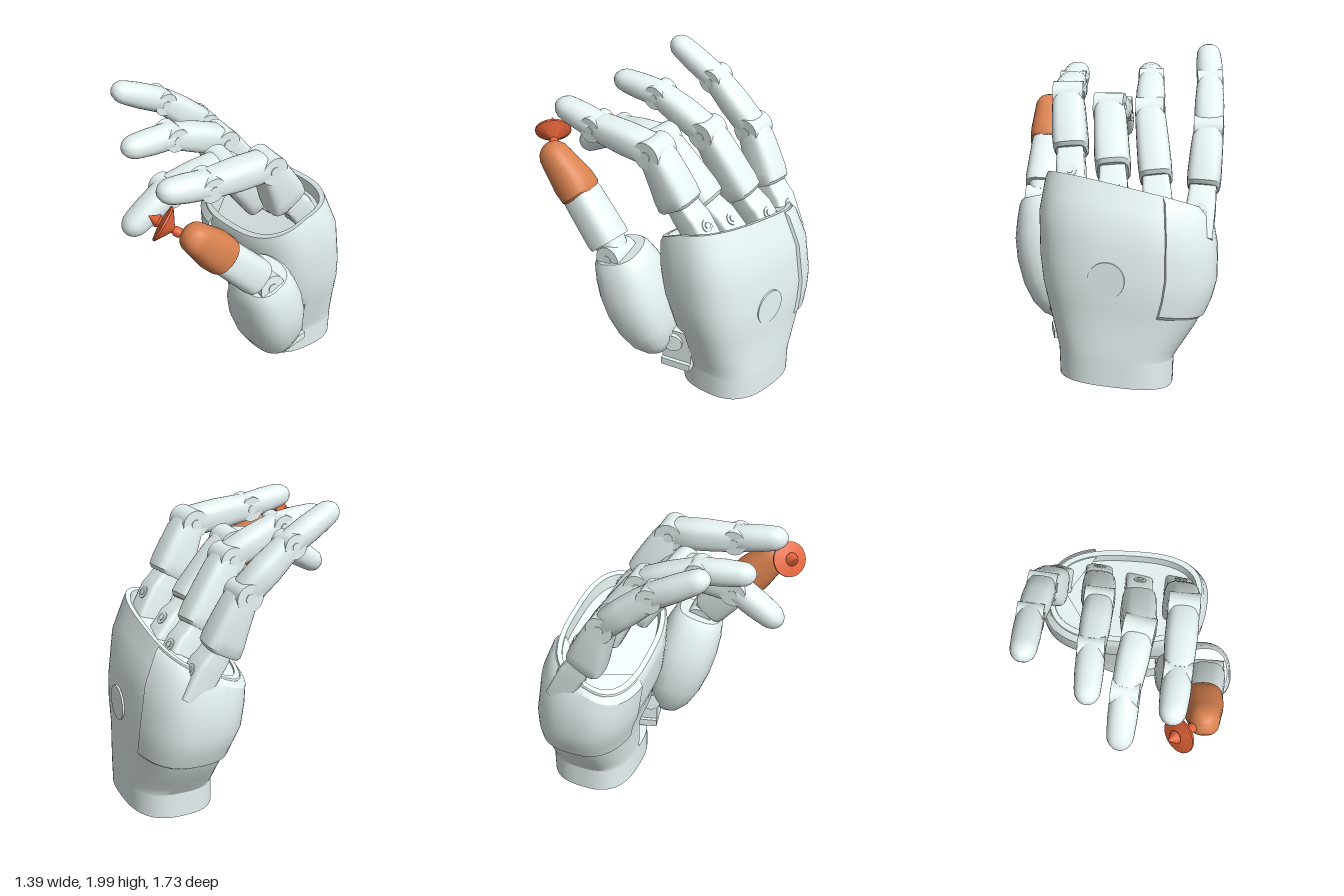
import * as THREE from 'three';
import { toCreasedNormals } from 'three/addons/utils/BufferGeometryUtils.js';

const V = (x, y, z) => new THREE.Vector3(x, y, z);
const mat = (color) => new THREE.MeshStandardMaterial({ color });
const grey = mat(0xe8f4f4), orange = mat(0xda8250), red = mat(0xe4643a);
const ACROSS = V(0.906, 0, 0.42);   // direction across the palm, little finger to index
const TO_PALM = V(-0.42, 0, 0.906); // direction the palm faces

// Skin a stack of closed rings (counter-clockwise seen from the far end), capped at both ends
function loft(rings, crease = 0.6) {
  const n = rings[0].length, pos = [], idx = [];
  rings.forEach((r) => r.forEach((p) => pos.push(p.x, p.y, p.z)));
  for (let i = 0; i < rings.length - 1; i++) {
    for (let j = 0; j < n; j++) {
      const a = i * n + j, b = i * n + (j + 1) % n;
      idx.push(a, b, b + n, a, b + n, a + n);
    }
  }
  [0, rings.length - 1].forEach((i, end) => {
    const c = rings[i].reduce((s, p) => s.add(p), V(0, 0, 0)).divideScalar(n);
    const ci = pos.length / 3;
    pos.push(c.x, c.y, c.z);
    for (let j = 0; j < n; j++) {
      const a = i * n + j, b = i * n + (j + 1) % n;
      idx.push(ci, end ? a : b, end ? b : a);
    }
  });
  const g = new THREE.BufferGeometry();
  g.setAttribute('position', new THREE.Float32BufferAttribute(pos, 3));
  g.setIndex(idx);
  return toCreasedNormals(g, crease);
}

// Point on a rounded-rectangle outline
function outline(t, a, b, p) {
  const c = Math.cos(t), s = Math.sin(t), e = 2 / p;
  return [a * Math.sign(c) * Math.abs(c) ** e, -b * Math.sign(s) * Math.abs(s) ** e];
}

function add(parent, name, geometry, material = grey) {
  const m = new THREE.Mesh(geometry, material);
  m.name = name;
  parent.add(m);
  return m;
}

// Group at A with y pointing to B and x along the hinge axis
function frame(parent, name, A, B, side = ACROSS) {
  const y = B.clone().sub(A).normalize();
  const x = side.clone().addScaledVector(y, -side.dot(y)).normalize();
  const g = new THREE.Group();
  g.name = name;
  g.applyMatrix4(new THREE.Matrix4().makeBasis(x, y, x.clone().cross(y)));
  g.position.copy(A);
  parent.add(g);
  return g;
}

// Sections are [distance along y, half width, half depth, shift towards the palm]
function limb(parent, name, sections, p = 3, material = grey) {
  const rings = sections.map(([y, a, b, shift = 0]) => Array.from({ length: 28 }, (_, j) => {
    const [x, z] = outline(j / 28 * Math.PI * 2, a, b, p);
    return V(x, y, z + shift);
  }));
  return add(parent, name, loft(rings), material);
}

const dome = (y, a, b, h) => [0, 0.25, 0.5, 0.7, 0.85, 0.96].map((k) => {
  const c = Math.cos(k * Math.PI / 2);
  return [y + h * Math.sin(k * Math.PI / 2), a * c, b * c];
});

// Hinge pin across a joint with a smaller screw head at each end
function hinge(parent, name, r, w) {
  add(parent, name, new THREE.CylinderGeometry(r, r, w, 24)).rotation.z = Math.PI / 2;
  add(parent, name + 'Screw', new THREE.CylinderGeometry(r * 0.35, r * 0.35, w + 0.01, 12)).rotation.z = Math.PI / 2;
}

// Palm levels: y, slope along x, centre x, centre z, half width, half thickness, drop towards the palm side
const LEVELS = [
  [0.03, 0.10, 0.23, -0.47, 0.345, 0.285, 0],
  [0.20, 0.10, 0.23, -0.47, 0.35, 0.285, 0],
  [0.42, 0.12, 0.19, -0.47, 0.445, 0.29, 0],
  [0.57, 0.13, 0.17, -0.465, 0.5, 0.305, 0],
  [0.72, 0.15, 0.15, -0.44, 0.53, 0.33, 0],
  [0.95, 0.20, 0.14, -0.41, 0.535, 0.32, 0.22],
  [1.12, 0.25, 0.12, -0.37, 0.505, 0.285, 0.43],
  [1.16, 0.25, 0.12, -0.37, 0.49, 0.27, 0.45],
];

function palmPoint(y, t, grow) {
  let i = 0;
  while (i < LEVELS.length - 2 && y > LEVELS[i + 1][0]) i++;
  const f = (y - LEVELS[i][0]) / (LEVELS[i + 1][0] - LEVELS[i][0]);
  const [, slope, cx, cz, a, b, drop] = LEVELS[i].map((v, k) => v + (LEVELS[i + 1][k] - v) * f);
  let [lx, lz] = outline(t, a + grow, b + grow, 2.7);
  // Recess for the thumb mount
  if (y > 0.195 && y < 0.485 && lx > 0.04) lz = Math.min(lz, 0.08);
  const p = V(cx, 0, cz).addScaledVector(ACROSS, lx).addScaledVector(TO_PALM, lz);
  p.y = y + slope * (p.x - 0.14) - drop * (lz > 0 ? lz : lz * 0.5);
  return p;
}

function buildPalm(root) {
  // Shell with a hollow wrist and a well for the knuckles: inner wall, outer wall, rim, well
  const ring = (y, grow) => Array.from({ length: 72 }, (_, j) => palmPoint(y, j / 72 * Math.PI * 2, grow));
  const rings = [ring(0.18, -0.05), ring(0.03, -0.05)];
  for (const y of [0.03, 0.12, 0.19, 0.2, 0.26, 0.34, 0.42, 0.48, 0.49, 0.57, 0.72, 0.84, 0.95, 1.04, 1.12, 1.16]) rings.push(ring(y, 0));
  rings.push(ring(1.16, -0.03), ring(1.09, -0.06));
  add(root, 'palm', loft(rings, 0.5));

  // Raised cover around the little finger edge
  const cover = [0.48, 0.5, 0.6, 0.72, 0.84, 0.95, 1.04, 1.12, 1.15].map((y, i, all) => {
    const g = i === 0 || i === all.length - 1 ? 0.005 : 0.02;
    const arc = (grow) => Array.from({ length: 25 }, (_, j) => palmPoint(y, (111 + 143 * j / 24) * Math.PI / 180, grow));
    return [...arc(g), ...arc(-0.03).reverse()];
  });
  add(root, 'sideCover', loft(cover, 0.5));

  // Round cap nearly flush with the back of the hand
  const c = palmPoint(0.67, 1.47, 0);
  const cap = frame(root, 'backCap', c, c.clone().add(V(0.48, 0.02, -0.88)), V(0, 1, 0));
  add(cap, 'backCapDisc', new THREE.CylinderGeometry(0.112, 0.112, 0.012, 32));
}

function buildFinger(root, name, [mcp, pip, dip, tip], s) {
  const finger = new THREE.Group();
  finger.name = name;
  root.add(finger);

  // Knuckle block in line with the finger, pinned from back to palm side
  const prox = frame(finger, 'proximal', mcp, pip), L1 = mcp.distanceTo(pip);
  limb(prox, 'knuckleBlock', [[-0.17, 0.088, 0.08], [0.06, 0.088, 0.085], [0.1, 0.085, 0.08, 0.01], [0.22, 0.078, 0.065, 0.02]], 7);
  for (const [r, w] of [[0.04, 0.178], [0.02, 0.19]]) {
    add(prox, 'knucklePin', new THREE.CylinderGeometry(r, r, w, 16)).rotation.x = Math.PI / 2;
  }
  limb(prox, 'proximalShell', [[0.165, 0.092 * s, 0.11 * s, 0.035], [0.185, 0.103 * s, 0.128 * s, 0.03],
    [0.25, 0.106 * s, 0.126 * s, 0.022], [L1 * 0.65, 0.103 * s, 0.112 * s, 0.01], [L1 - 0.07, 0.098 * s, 0.097 * s],
    [L1 - 0.01, 0.09 * s, 0.086 * s]], 3.8);

  const mid = frame(finger, 'middle', pip, dip), L2 = pip.distanceTo(dip);
  hinge(mid, 'middleHinge', 0.088 * s, 0.182 * s);
  limb(mid, 'middleShell', [[0.02, 0.085 * s, 0.08 * s], [0.04, 0.093 * s, 0.09 * s], [L2 * 0.5, 0.094 * s, 0.092 * s],
    [L2 - 0.05, 0.086 * s, 0.083 * s], [L2 - 0.015, 0.082 * s, 0.079 * s]], 2.9);

  const end = frame(finger, 'fingertip', dip, tip), L3 = dip.distanceTo(tip);
  hinge(end, 'tipHinge', 0.078 * s, 0.162 * s);
  limb(end, 'tipShell', [[-0.005, 0.08 * s, 0.078 * s], [0.015, 0.086 * s, 0.082 * s], [L3 * 0.6, 0.086 * s, 0.08 * s],
    ...dome(L3, 0.08 * s, 0.072 * s, 0.095 * s)], 2.3);
}

function buildThumb(root) {
  const thumb = new THREE.Group();
  thumb.name = 'thumb';
  root.add(thumb);
  const side = V(0.95, 0, 0.3);
  const mcp = V(0.505, 1.02, 0.24), ip = V(0.37, 1.35, 0.51), tip = V(0.322, 1.535, 0.67);

  // Mount in the wrist recess: foot plate, block and pin
  for (const [name, w, h, d, y] of [['thumbMountPlate', 0.25, 0.05, 0.2, 0.25], ['thumbMountBlock', 0.2, 0.24, 0.2, 0.38]]) {
    const part = add(thumb, name, new THREE.BoxGeometry(w, h, d));
    part.position.set(0.42, y, -0.16);
    part.rotation.y = -0.2;
  }
  const pin = add(thumb, 'thumbMountPin', new THREE.CylinderGeometry(0.06, 0.06, 0.25, 20));
  pin.position.set(0.42, 0.42, -0.12);
  pin.rotation.z = Math.PI / 2;

  // Full, rounded thumb base
  const ball = frame(thumb, 'thumbBase', V(0.43, 0.3, -0.02), V(0.48, 1.05, 0.23), V(0.97, 0, 0.2));
  limb(ball, 'thumbBaseShell', [[0, 0.07, 0.05], [0.04, 0.13, 0.1], [0.12, 0.185, 0.15], [0.24, 0.225, 0.185],
    [0.4, 0.243, 0.205], [0.54, 0.235, 0.204], [0.66, 0.205, 0.19], [0.75, 0.175, 0.168], [0.78, 0.155, 0.145]], 2.5);

  const prox = frame(thumb, 'thumbProximal', mcp, ip, side), L1 = mcp.distanceTo(ip);
  hinge(prox, 'thumbHinge', 0.085, 0.2);
  limb(prox, 'thumbProximalShell', [[0.03, 0.08, 0.08], [0.09, 0.09, 0.09], [0.09, 0.113, 0.115],
    [0.13, 0.118, 0.12], [L1 - 0.04, 0.112, 0.113], [L1 + 0.02, 0.106, 0.107]], 3);

  const end = frame(thumb, 'thumbTip', ip, tip, side), L2 = ip.distanceTo(tip);
  limb(end, 'thumbTipShell', [[-0.02, 0.11, 0.113], [0, 0.124, 0.125], [0.08, 0.122, 0.126], [L2 * 0.65, 0.108, 0.114],
    ...dome(L2, 0.095, 0.1, 0.11)], 2.4, orange);

  // Small spinning top held at the thumb tip
  const c = V(0.145, 1.62, 0.75);
  const top = frame(thumb, 'spinningTop', c, c.clone().add(V(-0.82, 0.46, 0.32)), V(0, 0, 1));
  const profile = [[0, -0.12], [0.03, -0.11], [0.03, -0.08], [0.022, -0.06], [0.112, 0.0], [0.112, 0.012],
    [0.03, 0.025], [0.042, 0.04], [0, 0.1]].map(([r, y]) => new THREE.Vector2(r, y));
  add(top, 'spinningTopBody', toCreasedNormals(new THREE.LatheGeometry(profile, 28), 0.5), red);
}

export function createModel() {
  const root = new THREE.Group();
  root.name = 'roboticHand';
  buildPalm(root);
  // Joints: knuckle, middle, end, centre of the tip
  buildFinger(root, 'littleFinger', [V(-0.25, 1.05, -0.63), V(-0.39, 1.52, -0.41), V(-0.515, 1.78, -0.13), V(-0.605, 1.92, 0.11)], 0.98);
  buildFinger(root, 'ringFinger', [V(-0.01, 1.11, -0.54), V(-0.09, 1.62, -0.18), V(-0.225, 1.77, 0.16), V(-0.31, 1.79, 0.4)], 0.98);
  buildFinger(root, 'middleFinger', [V(0.21, 1.16, -0.36), V(0.09, 1.62, 0.07), V(-0.085, 1.56, 0.4), V(-0.17, 1.415, 0.6)], 1.05);
  buildFinger(root, 'indexFinger', [V(0.445, 1.26, -0.25), V(0.375, 1.71, 0.03), V(0.22, 1.74, 0.43), V(0.13, 1.78, 0.64)], 1.03);
  buildThumb(root);
  return root;
}
